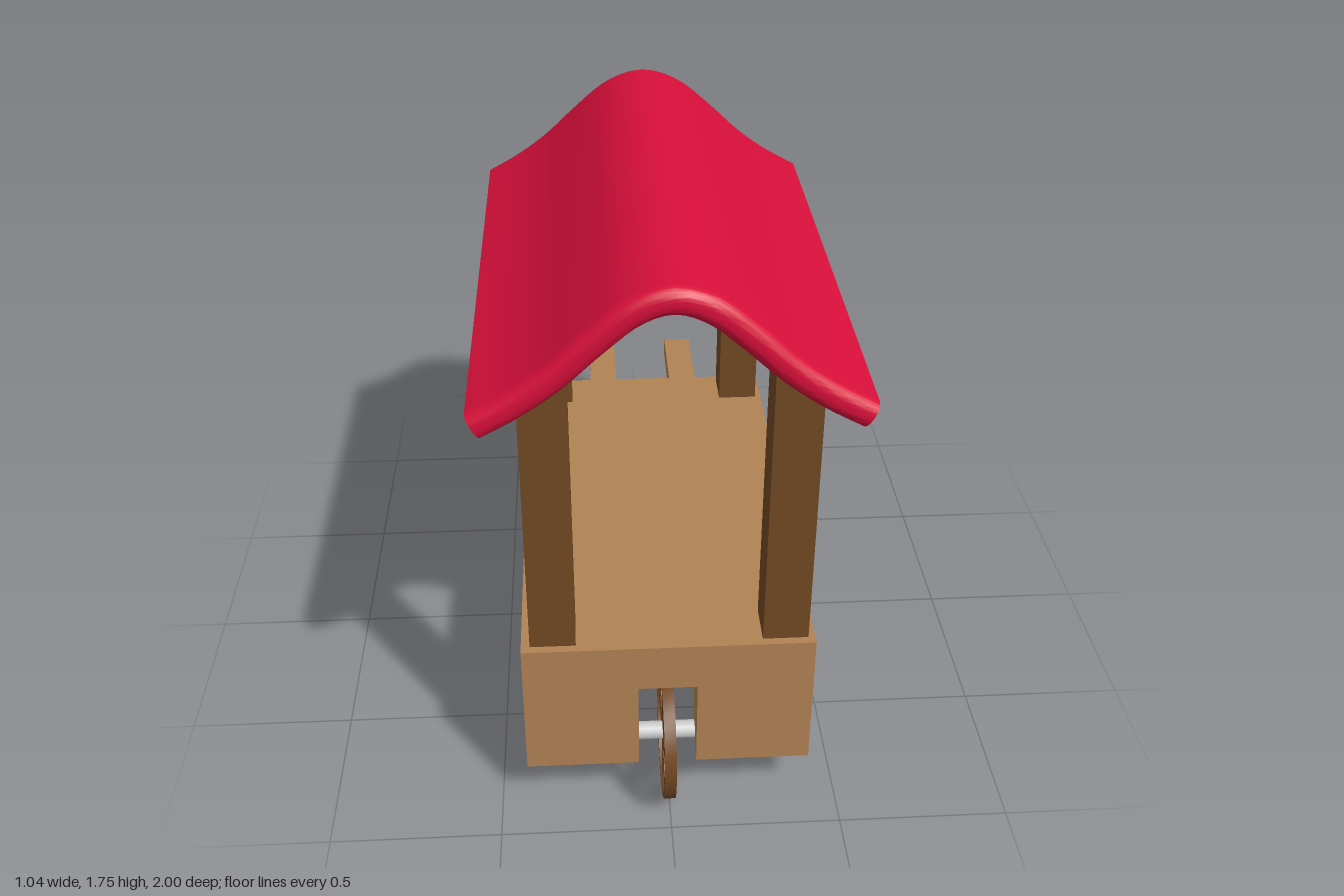
import * as THREE from 'three';
import { toCreasedNormals } from 'three/addons/utils/BufferGeometryUtils.js';

const paint = (color) => new THREE.MeshStandardMaterial({ color });

// Solid with eight corners: bottom four, then top four,
// each as front-left, front-right, back-right, back-left.
function block(corners) {
  const faces = [[4, 5, 6, 7], [3, 2, 1, 0], [0, 1, 5, 4], [1, 2, 6, 5], [2, 3, 7, 6], [3, 0, 4, 7]];
  const pos = [];
  for (const [a, b, c, d] of faces) for (const i of [a, b, c, a, c, d]) pos.push(...corners[i]);
  const geo = new THREE.BufferGeometry();
  geo.setAttribute('position', new THREE.Float32BufferAttribute(pos, 3));
  geo.computeVertexNormals();
  return geo;
}

// Block with a free bottom and a level top at height y
const raised = (bottom, y) => block([...bottom, ...bottom.map(([x, , z]) => [x, y, z])]);

const outline = (points) => new THREE.Shape(points.map(([x, y]) => new THREE.Vector2(x, y)));

export function createModel() {
  const model = new THREE.Group();
  const wood = paint(0xb28354);
  const darkWood = paint(0x734823);
  const signWood = paint(0x7a6340);
  const red = paint(0xd80f3a);
  const grey = paint(0xcccccc);
  const iron = paint(0x55585a);

  const add = (name, geo, mat, parent = model) => {
    const mesh = new THREE.Mesh(geo, mat);
    mesh.name = name;
    parent.add(mesh);
    return mesh;
  };

  // Cart body: counter, solid right-hand side and back wall, open on -x
  const L = -0.42, R = 0.415, front = 0.88, frontIn = 0.774, backIn = -0.505, back = -0.61, under = 0.53;
  const body = new THREE.Group();
  body.name = 'cartBody';
  model.add(body);
  const slab = [[L, under, front], [R, under, front], [R, under, back], [L, under, back]];
  add('counter', raised(slab, 0.6), wood, body);
  add('sidePanel', raised([[0.155, 0.2, frontIn], [R, 0.15, frontIn], [R, 0.02, backIn], [0.19, 0.095, backIn]], under), wood, body);
  add('backCorner', raised([[0.19, 0.095, backIn], [R, 0.02, backIn], [R, 0.01, back], [0.22, 0.01, back]], under), wood, body);
  add('backWall', raised([[L, 0.088, backIn], [0.19, 0.095, backIn], [0.22, 0.01, back], [L, 0.01, back]], under), wood, body);

  // Front wall with the wheel slot, its lower inner edge raised
  const wall = new THREE.ExtrudeGeometry(
    outline([[L, 0.16], [-0.09, 0.16], [-0.09, 0.45], [0.08, 0.45], [0.08, 0.16], [R, 0.16], [R, under], [L, under]]),
    { depth: front - frontIn, bevelEnabled: false });
  wall.translate(0, 0, frontIn);
  const wp = wall.attributes.position;
  for (let i = 0; i < wp.count; i++) {
    if (wp.getY(i) < 0.17 && wp.getZ(i) < 0.8) wp.setY(i, wp.getX(i) > 0.4 ? 0.15 : 0.2);
  }
  wall.computeVertexNormals();
  add('frontWall', wall, wood, body);

  // Handles, tapering towards the back
  for (const s of [-1, 1]) {
    const x0 = s * 0.148 - 0.048, x1 = s * 0.148 + 0.048;
    add('handle', raised([[x0, 0.455, back], [x1, 0.455, back], [x1, 0.48, -1], [x0, 0.48, -1]], 0.545), wood);
  }

  // Wheel: rim, eight spokes and axle
  const wheel = new THREE.Group();
  wheel.name = 'wheel';
  wheel.position.set(-0.003, 0.21, 0.8);
  model.add(wheel);
  const w = 0.017;
  const rim = new THREE.LatheGeometry(
    [[0.182, -w], [0.2, -w], [0.2, w], [0.182, w], [0.182, -w]].map(([r, y]) => new THREE.Vector2(r, y)), 32);
  rim.rotateZ(Math.PI / 2);
  add('rim', toCreasedNormals(rim, 0.6), darkWood, wheel);
  for (let i = 0; i < 8; i++) {
    const spoke = new THREE.BoxGeometry(0.026, 0.19, 0.036);
    spoke.translate(0, 0.095, 0);
    add('spoke', spoke, darkWood, wheel).rotation.x = i * Math.PI / 4;
  }
  const axle = new THREE.CylinderGeometry(0.027, 0.027, 0.174, 20);
  axle.rotateZ(Math.PI / 2);
  add('axle', axle, grey, wheel);

  // Posts, tops cut to follow the roof
  for (const s of [-1, 1]) for (const z of [0.793, -0.522]) {
    const foot = [[-0.395, 1.43], [-0.265, 1.53]].map(([x, y]) => [x * -s, y]);
    const [a, b] = foot.sort((p, q) => p[0] - q[0]);
    const ring = (ya, yb) => [[a[0], ya, z + 0.0625], [b[0], yb, z + 0.0625], [b[0], yb, z - 0.0625], [a[0], ya, z - 0.0625]];
    add('post', block([...ring(0.595, 0.595), ...ring(a[1], b[1])]), darkWood);
  }

  // Roof: a slab with rounded ends, bent along a bell-shaped curve
  const half = [[0.5, 1.385], [0.4, 1.442], [0.3, 1.515], [0.2, 1.608], [0.1, 1.69]];
  const bell = new THREE.SplineCurve(
    [...half.map(([x, y]) => [-x, y]), [0, 1.722], ...half.reverse()].map(([x, y]) => new THREE.Vector2(x, y)));
  const hz = 0.815, ht = 0.039, r = 0.034;
  const section = new THREE.Shape();
  section.absarc(hz - r, ht - r, r, 0, Math.PI / 2);
  section.absarc(-hz + r, ht - r, r, Math.PI / 2, Math.PI);
  section.absarc(-hz + r, -ht + r, r, Math.PI, Math.PI * 1.5);
  section.absarc(hz - r, -ht + r, r, Math.PI * 1.5, Math.PI * 2);
  const roof = new THREE.ExtrudeGeometry(section, { depth: 1, steps: 40, curveSegments: 6, bevelEnabled: false });
  const rp = roof.attributes.position;
  for (let i = 0; i < rp.count; i++) {
    const u = Math.min(1, Math.max(0, rp.getZ(i)));
    const p = bell.getPointAt(u), t = bell.getTangentAt(u), n = rp.getY(i);
    rp.setXYZ(i, p.x - t.y * n, p.y + t.x * n, 0.135 - rp.getX(i));
  }
  add('roof', toCreasedNormals(roof, 0.8), red);

  // Hanging sign board with worn edges (outline runs along z)
  const board = new THREE.ExtrudeGeometry(outline([
    [-0.625, 1.235], [-0.6, 1.228], [-0.45, 1.238], [-0.3, 1.24], [-0.2, 1.23], [-0.1, 1.238], [0.36, 1.23], [0.348, 1.06],
    [0.31, 1.01], [0.1, 1.018], [-0.13, 1.02], [-0.22, 1.005], [-0.3, 1.002], [-0.63, 1.013],
  ]), { depth: 0.026, bevelEnabled: true, bevelThickness: 0.004, bevelSize: 0.004, bevelOffset: -0.004, bevelSegments: 1 });
  board.rotateY(Math.PI / 2);
  board.translate(0.411, 0, 0);
  add('signBoard', board, signWood);

  // Chains of links turned by a quarter each
  for (const z of [0.61, -0.34]) {
    const chain = new THREE.Group();
    chain.name = 'chain';
    model.add(chain);
    for (let i = 0; i < 5; i++) {
      const link = new THREE.TorusGeometry(0.011, 0.0035, 6, 14);
      link.scale(1, 1.9, 1);
      const mesh = add('link', link, iron, chain);
      mesh.position.set(0.425, 1.245 + i * 0.036, z);
      mesh.rotation.y = (i % 2) * Math.PI / 2;
    }
  }
  return model;
}
